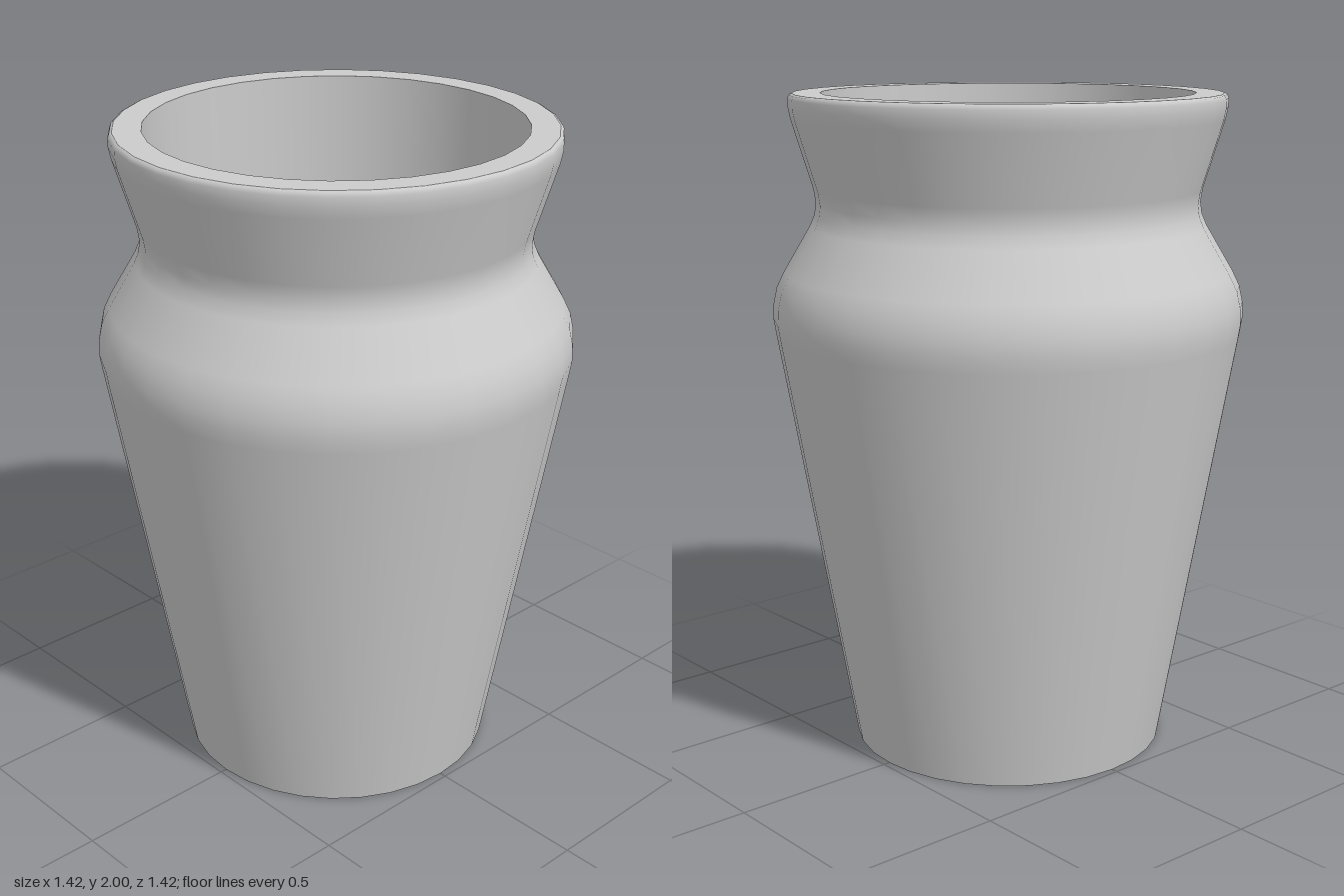
import * as THREE from 'three';

const SIDES = 32;
const material = new THREE.MeshStandardMaterial({ color: 0xcccccc });

// Each section is turned separately so edges between sections stay sharp.
function turned(name, profile) {
  const points = profile.map(([r, y]) => new THREE.Vector2(r, y));
  const mesh = new THREE.Mesh(new THREE.LatheGeometry(points, SIDES), material);
  mesh.name = name;
  return mesh;
}

export function createModel() {
  const jar = new THREE.Group();
  jar.name = 'jar';

  const rimInner = 0.555, floorY = 1.58;

  jar.add(
    turned('base', [[0, 0], [0.48, 0]]),
    // Tapered body, rounded shoulder, pinched neck and flared lip
    turned('outerWall', [
      [0.48, 0], [0.703, 1.29], [0.71, 1.335], [0.708, 1.38], [0.697, 1.43], [0.675, 1.475],
      [0.595, 1.61], [0.58, 1.645], [0.575, 1.68], [0.581, 1.72],
      [0.643, 1.925], [0.65, 1.96], [0.65, 1.985], [0.646, 1.996], [0.638, 2],
    ]),
    turned('rim', [[0.638, 2], [rimInner, 2]]),
    // Shallow straight-sided recess
    turned('innerWall', [[rimInner, 2], [rimInner, floorY]]),
    turned('innerFloor', [[rimInner, floorY], [0, floorY]]),
  );
  return jar;
}
